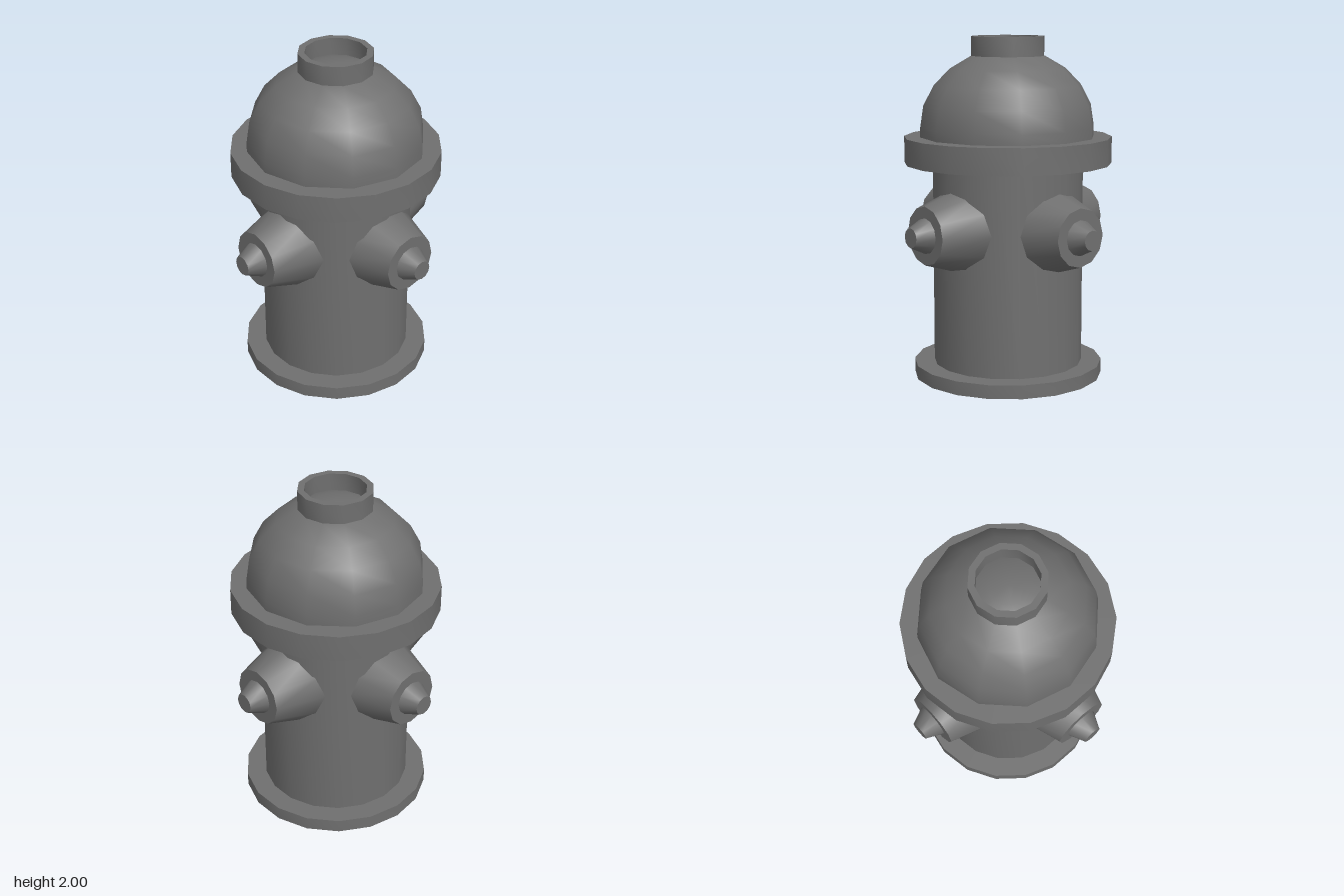
import * as THREE from 'three';
import { toCreasedNormals } from 'three/addons/utils/BufferGeometryUtils.js';

const material = new THREE.MeshStandardMaterial({ color: 0x6f6f6f, side: THREE.DoubleSide });

// Turned part from [radius, y] points, smooth around with sharp rims
function turned(name, profile, sides, start = 0) {
  const points = profile.map(([r, y]) => new THREE.Vector2(r, y));
  const geometry = toCreasedNormals(new THREE.LatheGeometry(points, sides, start), 0.7);
  const mesh = new THREE.Mesh(geometry, material);
  mesh.name = name;
  return mesh;
}

// Closed ring with a rectangular section
function ring(name, inner, outer, bottom, top, sides, start = 0) {
  const section = [[outer, bottom], [outer, top], [inner, top], [inner, bottom], [outer, bottom]];
  return turned(name, section, sides, start);
}

export function createModel() {
  const model = new THREE.Group();
  model.name = 'fireHydrant';
  const quarter = Math.PI / 2;

  // Hollow barrel on a foot that is open underneath, with its upper flange
  model.add(
    turned('barrel', [[0.44, 0.08], [0.44, 1.42]], 18, quarter),
    turned('baseFlange', [[0.558, 0], [0.558, 0.08], [0.44, 0.08]], 18, quarter),
    ring('upperFlange', 0.44, 0.607, 1.266, 1.42, 18, quarter)
  );

  // Domed bonnet and the open collar on top
  const bonnet = [[0.513, 1.42], [0.512, 1.48], [0.493, 1.605], [0.432, 1.72],
    [0.34, 1.815], [0.218, 1.886], [0.11, 1.917], [0, 1.926]];
  model.add(
    turned('bonnet', bonnet, 12),
    ring('collar', 0.176, 0.214, 1.88, 2, 12)
  );

  // Four outlets, each set slightly off the centre line
  for (let i = 0; i < 4; i++) {
    const outlet = new THREE.Group();
    outlet.name = 'outlet' + (i + 1);
    const nozzle = turned('nozzle', [[0.257, 0.33], [0.168, 0.614], [0, 0.614]], 12);
    const nut = turned('capNut', [[0.102, 0.614], [0.057, 0.712], [0, 0.712]], 12);
    for (const part of [nozzle, nut]) {
      part.geometry.rotateX(quarter);
      part.position.set(0.024, 0.901, 0);
      outlet.add(part);
    }
    outlet.rotation.y = i * quarter;
    model.add(outlet);
  }

  return model;
}
